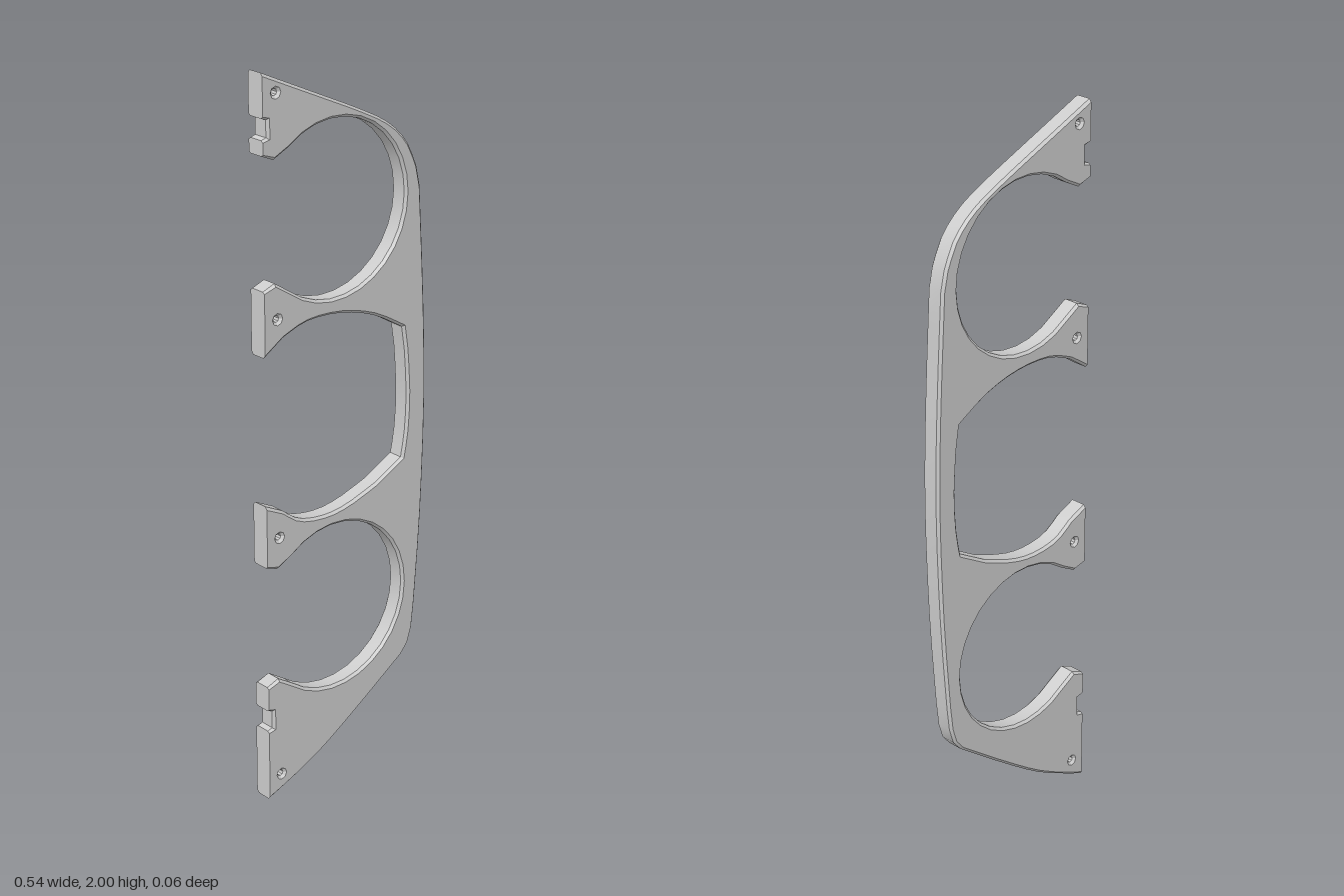
import * as THREE from 'three';
import { toCreasedNormals } from 'three/addons/utils/BufferGeometryUtils.js';

const LEFT = -0.272;   // flat mounting edge
const DEPTH = 0.056;
const BEVEL = 0.007;

// Points of a round opening, running clockwise from its upper to its lower lip
function roundOpening(cx, cy, r, steps = 22) {
  const pts = [], a = THREE.MathUtils.degToRad(128);
  for (let i = 0; i <= steps; i++) {
    const t = a - (2 * a * i) / steps;
    pts.push([cx + r * Math.cos(t), cy + r * Math.sin(t)]);
  }
  return pts;
}

// Smooth run through a few points
function smooth(points, steps) {
  const curve = new THREE.SplineCurve(points.map(p => new THREE.Vector2(...p)));
  return curve.getPoints(steps).map(p => [p.x, p.y]);
}

export function createModel() {
  const group = new THREE.Group();
  group.name = 'bracketFrame';
  const material = new THREE.MeshStandardMaterial({ color: 0xcccccc });

  const outline = [
    // outer rim, bottom to top
    ...smooth([[LEFT, 0], [-0.12, 0.07], [0.02, 0.16], [0.195, 0.285]], 8),
    [0.22, 0.315], [0.234, 0.36],
    ...smooth([[0.242, 0.43], [0.262, 0.7], [0.272, 1.02], [0.265, 1.3], [0.247, 1.62]], 12),
    ...smooth([[0.235, 1.675], [0.205, 1.74], [0.16, 1.79], [0.1, 1.83], [0, 1.878]], 8),
    // top arm with its notch
    [LEFT, 2], [LEFT, 1.885], [-0.257, 1.88], [-0.257, 1.835], [LEFT, 1.83],
    [LEFT, 1.79], [-0.235, 1.775],
    ...roundOpening(-0.042, 1.612, 0.237),
    // upper middle arm
    [-0.235, 1.455], [LEFT, 1.44], [LEFT, 1.263],
    ...smooth([[-0.21, 1.305], [-0.13, 1.332], [-0.02, 1.33], [0.09, 1.3], [0.19, 1.245]], 12),
    // middle window side
    ...smooth([[0.2, 1.18], [0.208, 1.06], [0.203, 0.95], [0.19, 0.875]], 6),
    // lower middle arm
    ...smooth([[0.1, 0.825], [0, 0.79], [-0.08, 0.78], [-0.16, 0.793], [-0.215, 0.83]], 10),
    [LEFT, 0.857], [LEFT, 0.682], [-0.235, 0.67],
    ...roundOpening(-0.042, 0.508, 0.237),
    // bottom arm with its notch
    [-0.235, 0.35], [LEFT, 0.335], [LEFT, 0.265], [-0.257, 0.26], [-0.257, 0.21], [LEFT, 0.205],
  ];
  const shape = new THREE.Shape(outline.map(p => new THREE.Vector2(...p)));

  // Screw holes
  for (const y of [1.945, 1.36, 0.76, 0.065]) {
    const hole = new THREE.Path();
    hole.absarc(-0.231, y, 0.009, 0, Math.PI * 2, true);
    shape.holes.push(hole);
  }

  const geometry = new THREE.ExtrudeGeometry(shape, {
    depth: DEPTH - 2 * BEVEL, curveSegments: 4,
    bevelEnabled: true, bevelThickness: BEVEL, bevelSize: BEVEL,
    bevelOffset: -BEVEL, bevelSegments: 1,
  });
  geometry.translate(0, 0, BEVEL - DEPTH / 2);

  // Keep the mounting edge square
  const pos = geometry.attributes.position;
  for (let i = 0; i < pos.count; i++) {
    if (pos.getX(i) < LEFT + 0.011) pos.setX(i, LEFT);
  }

  const plate = new THREE.Mesh(toCreasedNormals(geometry, 0.5), material);
  plate.name = 'framePlate';
  group.add(plate);
  return group;
}
